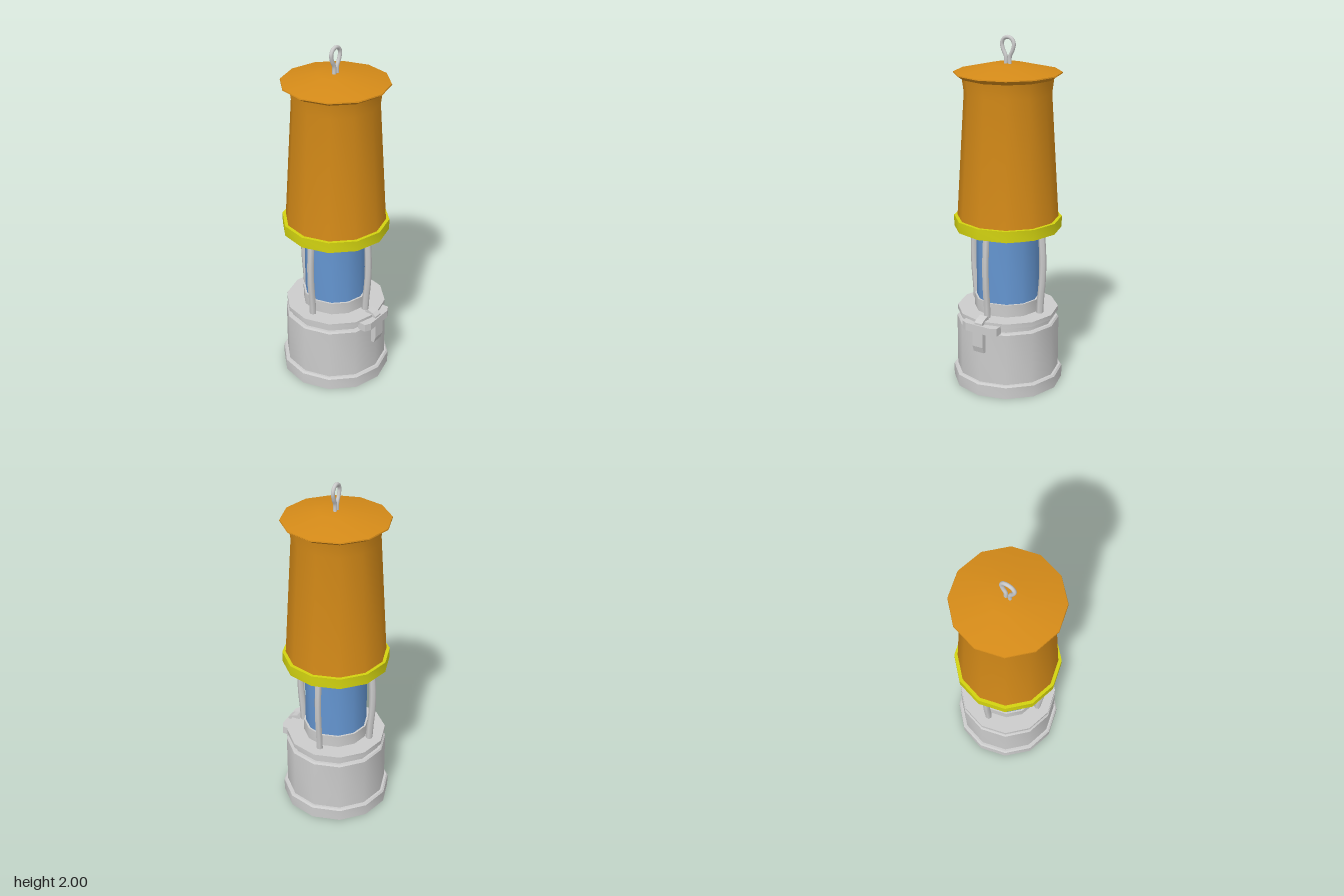
import * as THREE from 'three';
import { toCreasedNormals } from 'three/addons/utils/BufferGeometryUtils.js';

const metal = new THREE.MeshStandardMaterial({ color: 0xcccccc });
const orange = new THREE.MeshStandardMaterial({ color: 0xd48a18 });
const yellow = new THREE.MeshStandardMaterial({ color: 0xd2d210 });
const blue = new THREE.MeshStandardMaterial({ color: 0x6495d0 });

const v2 = (p) => new THREE.Vector2(p[0], p[1]);
const v3 = (p) => new THREE.Vector3(...p);

export function createModel() {
  const model = new THREE.Group();
  model.name = 'minersLamp';

  const add = (name, geometry, material) => {
    const mesh = new THREE.Mesh(geometry, material);
    mesh.name = name;
    model.add(mesh);
    return mesh;
  };
  // Twelve-sided turned part from [radius, y] pairs, bottom to top
  const turned = (name, profile, material) =>
    add(name, toCreasedNormals(new THREE.LatheGeometry(profile.map(v2), 12), 0.6), material);
  // Outline extruded symmetrically around its own plane
  const plate = (outline, depth) => {
    const g = new THREE.ExtrudeGeometry(new THREE.Shape(outline.map(v2)), { depth, bevelEnabled: false });
    return g.translate(0, 0, -depth / 2);
  };

  // Fuel vessel with foot, neck groove and top rim
  turned('fuelVessel', [
    [0, 0], [0.316, 0], [0.316, 0.068], [0.307, 0.077], [0.294, 0.077],
    [0.294, 0.378], [0.286, 0.387], [0.27, 0.387], [0.27, 0.415],
    [0.29, 0.418], [0.29, 0.445], [0, 0.445],
  ], metal);
  turned('glassCollar', [[0.19, 0.44], [0.19, 0.517], [0, 0.517]], metal);
  turned('glass', [[0.179, 0.51], [0.179, 0.9]], blue);

  // Stepped ring between glass and bonnet
  turned('bonnetRing', [
    [0, 0.892], [0.205, 0.892], [0.205, 0.928], [0.304, 0.928],
    [0.304, 0.99], [0.284, 0.99], [0.284, 0.97],
  ], yellow);

  // Tapered bonnet with flared brim and shallow lid
  turned('bonnet', [
    [0.286, 0.97], [0.241, 1.69], [0.252, 1.772], [0.268, 1.777],
    [0.298, 1.797], [0.296, 1.803], [0.1, 1.847], [0, 1.847],
  ], orange);

  // Four bowed guard bars
  const barPath = new THREE.CatmullRomCurve3(
    [[0, 0.43, 0.214], [0, 0.52, 0.219], [0, 0.65, 0.23], [0, 0.78, 0.231], [0, 0.94, 0.22]].map(v3));
  for (let i = 0; i < 4; i++) {
    const bar = add('guardBar' + (i + 1), new THREE.TubeGeometry(barPath, 10, 0.02, 6), metal);
    bar.rotation.y = i * Math.PI / 2;
  }

  // Hanging loop
  const loopPath = new THREE.CatmullRomCurve3([
    [-0.013, 1.83, 0], [-0.013, 1.885, 0], [-0.03, 1.92, 0], [-0.038, 1.955, 0], [-0.024, 1.981, 0],
    [0, 1.989, 0],
    [0.024, 1.981, 0], [0.038, 1.955, 0], [0.03, 1.92, 0], [0.013, 1.885, 0], [0.013, 1.83, 0],
  ].map(v3));
  add('hangingLoop', new THREE.TubeGeometry(loopPath, 40, 0.011, 8), metal);

  // Front latch: crossbar outlined from above, stem and tab outlined from the side
  const crossbar = add('latchCrossbar', plate(
    [[-0.115, -0.25], [-0.115, -0.297], [-0.08, -0.316], [0.08, -0.316], [0.115, -0.297], [0.115, -0.25]].reverse(),
    0.046), metal);
  crossbar.rotation.x = -Math.PI / 2;
  crossbar.position.y = 0.406;
  const stem = add('latchStem', plate(
    [[-0.27, 0.4], [-0.316, 0.4], [-0.316, 0.3], [-0.304, 0.264], [-0.28, 0.264]], 0.068), metal);
  const tab = add('latchTab', plate(
    [[-0.23, 0.44], [-0.25, 0.466], [-0.285, 0.455], [-0.308, 0.44], [-0.308, 0.42], [-0.23, 0.42]], 0.05), metal);
  stem.rotation.y = tab.rotation.y = Math.PI / 2;

  return model;
}
